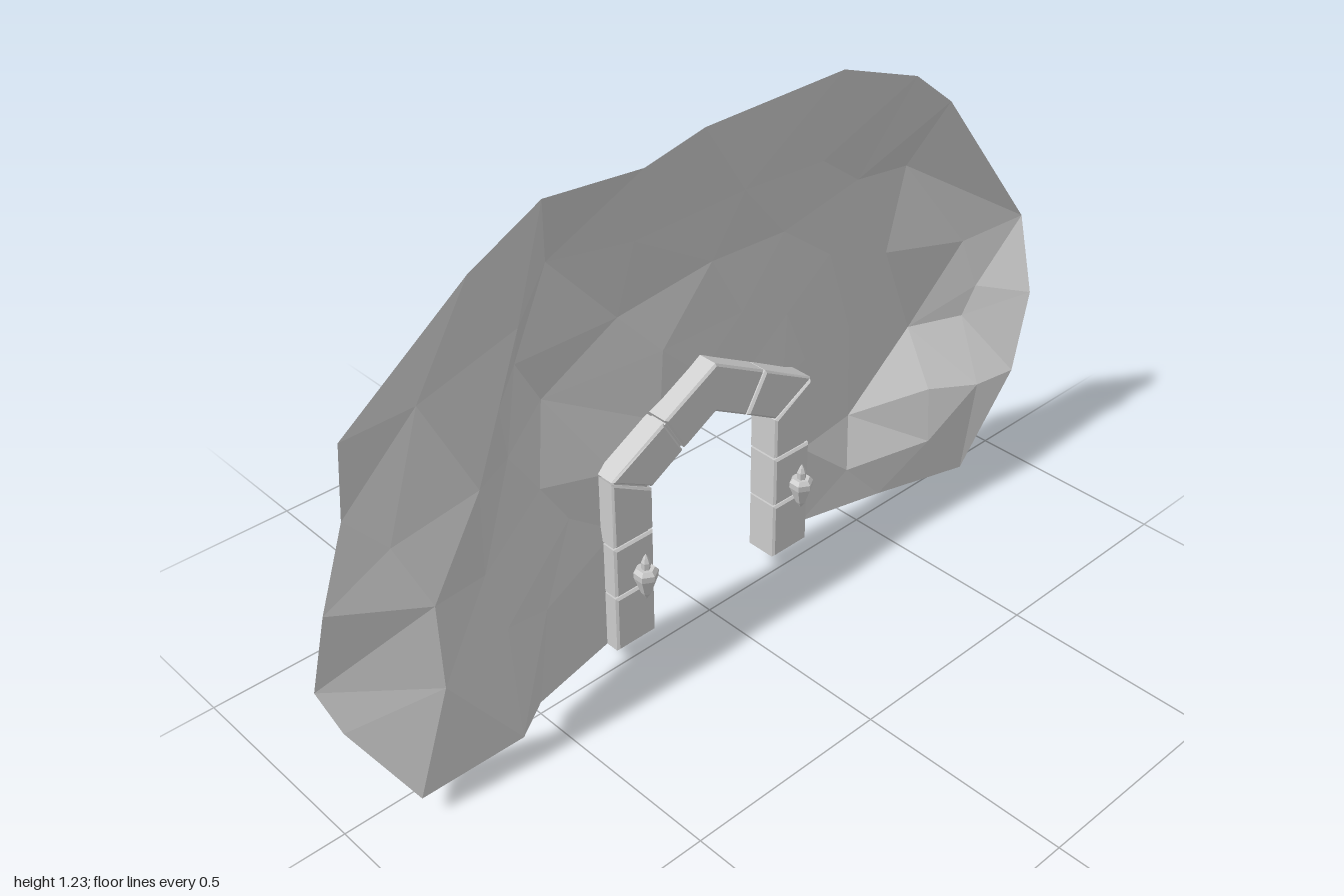
import * as THREE from 'three';

const stone = new THREE.MeshStandardMaterial({ color: 0xcccccc, flatShading: true, side: THREE.DoubleSide });

// Outer rim of the cliff, from bottom left over the top to bottom right (x, y, z)
const RIM = [
  [-0.52, 0.065, 0.03], [-0.62, 0.08, 0.1], [-0.86, 0.055, 0.075], [-0.97, 0.25, 0], [-1, 0.35, -0.035],
  [-0.98, 0.55, 0.005], [-0.92, 0.74, 0.012], [-0.91, 0.91, 0.02], [-0.61, 1.13, 0.02],
  [-0.42, 1.205, 0], [-0.18, 1.19, 0.01], [-0.03, 1.23, 0.02], [0.38, 1.225, 0.005],
  [0.6, 1.15, 0.018], [0.73, 1.05, 0.012], [1, 0.68, 0.04], [0.995, 0.49, 0.092],
  [0.97, 0.27, 0.08], [0.86, 0, 0.03], [0.6, 0.02, -0.02], [0.36, 0.04, -0.055],
];

// Where the rock meets the arch, hidden inside the stones, from right to left
const ARCH_EDGE = [
  [0.25, 0.065], [0.25, 0.2], [0.25, 0.35], [0.25, 0.5], [0.12, 0.57], [0, 0.635],
  [-0.12, 0.57], [-0.25, 0.5], [-0.25, 0.35], [-0.25, 0.2], [-0.25, 0.065],
].map(([x, y]) => [x, y, -0.025]);

// Bulges and hollows inside the rim (x, y, z)
const RELIEF = [
  [-0.78, 0.5, 0.07], [-0.78, 0.3, 0.078], [-0.65, 0.7, 0.06], [-0.5, 0.97, 0.01], [-0.47, 0.85, -0.05],
  [-0.61, 0.34, 0.06], [-0.42, 0.2, 0.01], [-0.48, 0.29, 0.02], [-0.37, 1.03, -0.065], [-0.53, 0.68, -0.01],
  [-0.39, 0.72, -0.078], [-0.64, 0.48, 0.04], [-0.38, 0.45, -0.02], [-0.45, 0.56, -0.02], [-0.75, 0.92, 0.03],
  [-0.575, 0.835, 0.035], [-0.84, 0.65, 0.035], [-0.2, 0.84, -0.06], [-0.18, 1.02, -0.025], [0.05, 0.88, -0.045],
  [0.12, 1.03, -0.02], [-0.1, 0.73, -0.035], [0.13, 0.73, -0.035], [0.28, 0.66, -0.045], [0.28, 0.86, -0.06],
  [0.38, 1, -0.045], [0.36, 0.5, -0.06], [0.36, 0.25, -0.06], [0.44, 0.74, -0.07], [0.52, 0.9, -0.067],
  [0.7, 0.87, -0.08], [0.53, 0.5, -0.08], [0.65, 0.66, -0.083], [0.77, 0.4, -0.1], [0.87, 0.63, -0.03],
  [0.89, 0.415, -0.03], [0.91, 0.5, -0.01], [0.55, 0.245, -0.088], [0.75, 0.27, -0.005], [0.74, 0.13, 0.015],
  [0.5, 0.13, -0.04], [0.88, 0.25, 0.045],
];

// Even-odd test against a closed outline
function isInside(x, y, outline) {
  let inside = false;
  outline.forEach(([ax, ay], i) => {
    const [bx, by] = outline[(i + 1) % outline.length];
    if (ay > y !== by > y && x < ax + ((y - ay) / (by - ay)) * (bx - ax)) inside = !inside;
  });
  return inside;
}

// Triangle with its circumcircle, turned to face the front
function triangle(a, b, c) {
  const bx = b[0] - a[0], by = b[1] - a[1], cx = c[0] - a[0], cy = c[1] - a[1];
  const d = 2 * (bx * cy - by * cx);
  const bb = bx * bx + by * by, cc = cx * cx + cy * cy;
  const ux = (cy * bb - by * cc) / d, uy = (bx * cc - cx * bb) / d;
  return { p: d > 0 ? [a, b, c] : [a, c, b], x: a[0] + ux, y: a[1] + uy, r: ux * ux + uy * uy };
}

// Delaunay triangles over the points, added one at a time
function triangulate(points) {
  const frame = [[-90, -70, 0], [93, -71, 0], [1, 95, 0]];
  let tris = [triangle(...frame)];
  for (const q of points) {
    const hit = (t) => (q[0] - t.x) ** 2 + (q[1] - t.y) ** 2 < t.r - 1e-9;
    const edges = tris.filter(hit).flatMap(({ p: [a, b, c] }) => [[a, b], [b, c], [c, a]]);
    const border = edges.filter(([a, b]) => !edges.some(([c, d]) => c === b && d === a));
    tris = tris.filter((t) => !hit(t));
    for (const [a, b] of border) {
      const area = (b[0] - a[0]) * (q[1] - a[1]) - (b[1] - a[1]) * (q[0] - a[0]);
      if (Math.abs(area) > 1e-10) tris.push(triangle(a, b, q));
    }
  }
  return tris.map((t) => t.p).filter((p) => !p.some((v) => frame.includes(v)));
}

// Faceted rock sheet with the gateway left open
function cliffGeometry() {
  const outline = [...RIM, ...ARCH_EDGE];
  const facets = triangulate([...RELIEF, ...outline]).filter(([a, b, c]) =>
    isInside((a[0] + b[0] + c[0]) / 3, (a[1] + b[1] + c[1]) / 3, outline));
  const geo = new THREE.BufferGeometry();
  geo.setAttribute('position', new THREE.Float32BufferAttribute(facets.flat(2), 3));
  geo.computeVertexNormals();
  return geo;
}

// Bevelled stone block cut from an outline in the front plane
function block(name, corners, front = 0.022, back = -0.062, bevel = 0.005) {
  const shape = new THREE.Shape(corners.map(([x, y]) => new THREE.Vector2(x, y)));
  const geo = new THREE.ExtrudeGeometry(shape, {
    depth: front - back - 2 * bevel, bevelEnabled: bevel > 0, bevelSize: bevel,
    bevelThickness: bevel, bevelOffset: -bevel, bevelSegments: 1,
  });
  geo.translate(0, 0, back + bevel);
  const mesh = new THREE.Mesh(geo, stone);
  mesh.name = name;
  return mesh;
}

function createArch() {
  const arch = new THREE.Group();
  arch.name = 'arch';
  for (const s of [-1, 1]) {
    const side = s > 0 ? 'left' : 'right';
    const add = (name, pts) => arch.add(block(side + name, pts.map(([x, y]) => [s * x, y])));
    // pillar stones
    add('LowerStone', [[0.185, 0.065], [0.295, 0.065], [0.295, 0.209], [0.185, 0.209]]);
    add('MiddleStone', [[0.185, 0.214], [0.295, 0.214], [0.295, 0.341], [0.185, 0.341]]);
    add('UpperStone', [[0.185, 0.346], [0.295, 0.346], [0.295, 0.512], [0.185, 0.45]]);
    // sloping stone
    add('SlopeStone', [[0.185, 0.455], [0.295, 0.517], [0.15, 0.598], [0.096, 0.506]]);
  }
  // chevron keystone
  arch.add(block('keystone', [[0, 0.56], [0.091, 0.509], [0.145, 0.601], [0, 0.68], [-0.145, 0.601], [-0.091, 0.509]]));
  // recessed core closing the joints
  arch.add(block('archCore', [
    [0.195, 0.08], [0.285, 0.08], [0.285, 0.51], [0, 0.665], [-0.285, 0.51], [-0.285, 0.08],
    [-0.195, 0.08], [-0.195, 0.46], [0, 0.57], [0.195, 0.46],
  ], 0.014, -0.054, 0));
  return arch;
}

// Six-sided wall torch with a small bracket
function createTorch(name) {
  const torch = new THREE.Group();
  torch.name = name;
  const lathe = (part, profile) => {
    const mesh = new THREE.Mesh(
      new THREE.LatheGeometry(profile.map(([r, y]) => new THREE.Vector2(r, y)), 6), stone);
    mesh.name = part;
    torch.add(mesh);
  };
  lathe('torchCup', [[0, 0], [0.012, 0.018], [0.027, 0.06], [0.028, 0.075], [0.02, 0.084], [0, 0.082]]);
  lathe('flame', [[0.01, 0.08], [0.011, 0.1], [0.006, 0.112], [0, 0.122]]);
  const bracket = new THREE.Mesh(new THREE.BoxGeometry(0.012, 0.014, 0.04), stone);
  bracket.name = 'bracket';
  bracket.position.set(0, 0.05, -0.02);
  torch.add(bracket);
  return torch;
}

export function createModel() {
  const model = new THREE.Group();
  model.name = 'cliffGateway';
  const cliff = new THREE.Mesh(cliffGeometry(), stone);
  cliff.name = 'cliffFace';
  model.add(cliff, createArch());
  for (const s of [-1, 1]) {
    const torch = createTorch(s > 0 ? 'leftTorch' : 'rightTorch');
    torch.position.set(s * 0.238, 0.202, 0.054);
    model.add(torch);
  }
  return model;
}
